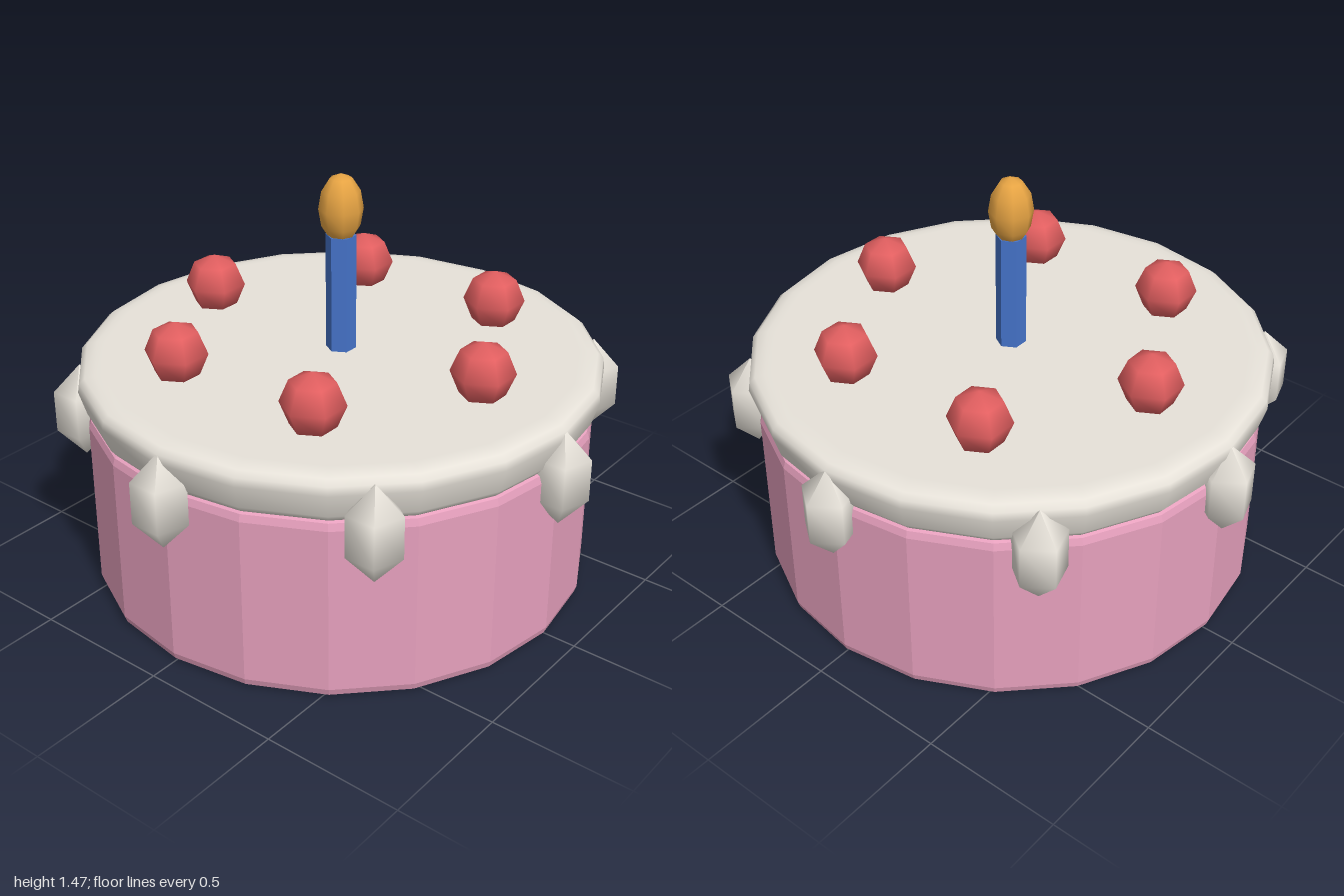
import * as THREE from 'three';

const material = (name, color) => {
  const m = new THREE.MeshStandardMaterial({ color });
  m.name = name;
  return m;
};

// Turned solid from [radius, y] pairs, bottom to top
const turned = (profile, sides, start = 0) =>
  new THREE.LatheGeometry(profile.map(([r, y]) => new THREE.Vector2(r, y)), sides, start);

// Faceted version of a geometry
const faceted = (geometry) => {
  const g = geometry.toNonIndexed();
  g.computeVertexNormals();
  return g;
};

export function createModel() {
  const cake = new THREE.Group();
  cake.name = 'birthdayCake';
  cake.position.z = 0.01;

  const pink = material('pink sponge', 0xe6a0bd);
  const cream = material('cream icing', 0xeee9e0);
  const red = material('cherry red', 0xe25f60);
  const blue = material('candle blue', 0x4674cb);
  const amber = material('flame amber', 0xeba745);

  const add = (name, geometry, mat, x = 0, y = 0, z = 0) => {
    const mesh = new THREE.Mesh(geometry, mat);
    mesh.name = name;
    mesh.position.set(x, y, z);
    cake.add(mesh);
    return mesh;
  };

  // Sponge with bevelled rims
  const sponge = [[0, 0], [0.865, 0], [0.885, 0.01], [0.893, 0.035],
    [0.893, 0.635], [0.885, 0.66], [0.865, 0.67], [0, 0.67]];
  add('sponge', faceted(turned(sponge, 20)), pink);

  // Rounded icing disc, tapering slightly downwards
  const icing = [[0, 0.66], [0.84, 0.66], [0.875, 0.665], [0.895, 0.69],
    [0.92, 0.775], [0.915, 0.805], [0.895, 0.823], [0.86, 0.83], [0.83, 0.83], [0, 0.83]];
  add('icing', turned(icing, 20), cream);

  // Five-sided icing drips around the rim
  const drip = turned([[0, -0.175], [0.095, -0.07], [0.095, 0.08], [0, 0.175]], 5, Math.PI);
  for (let i = 0; i < 8; i++) {
    const a = (i / 8) * Math.PI * 2;
    add('drip', drip, cream, Math.cos(a) * 0.908, 0.635, Math.sin(a) * 0.908);
  }

  // Ring of cherries
  const cherry = new THREE.SphereGeometry(0.11, 6, 4).rotateY(Math.PI / 2);
  for (let i = 0; i < 6; i++) {
    const a = (i / 6) * Math.PI * 2;
    add('cherry', cherry, red, Math.cos(a) * 0.592, 0.914, Math.sin(a) * 0.592);
  }

  // Candle and flame
  add('candle', faceted(new THREE.CylinderGeometry(0.053, 0.053, 0.45, 6)), blue, 0, 1.025, 0);
  const flame = new THREE.SphereGeometry(0.077, 8, 6).scale(1, 1.6, 1);
  add('flame', flame, amber, 0, 1.343, 0);

  const model = new THREE.Group();
  model.name = 'model';
  model.add(cake);
  return model;
}
